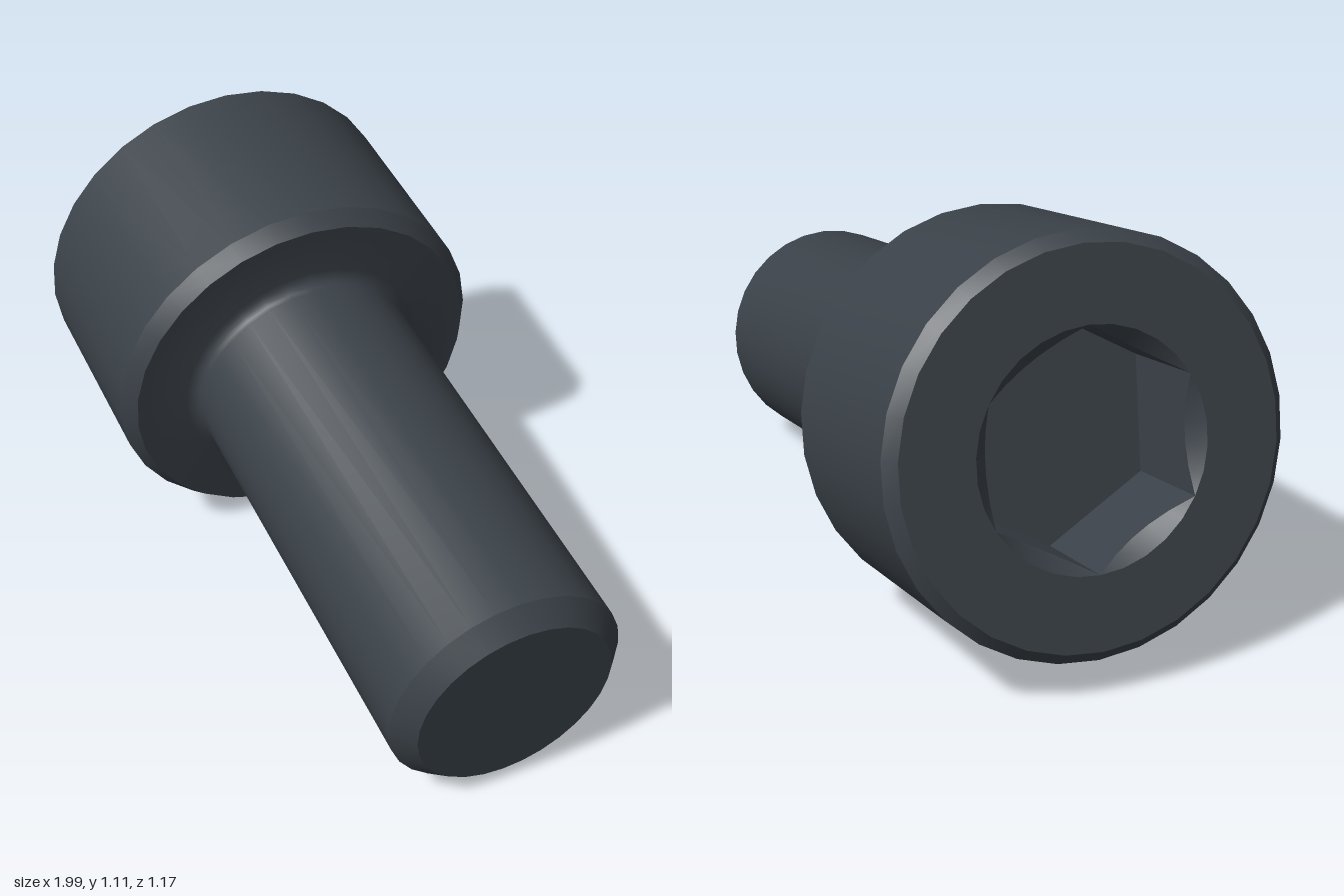
import * as THREE from 'three';
import { toCreasedNormals } from 'three/addons/utils/BufferGeometryUtils.js';

const SIDES = 30;
const HEAD_R = 0.517, HEAD_H = 0.62, SHANK_R = 0.31, LENGTH = 1.857;
const HEX_R = 0.298, HEX_DEPTH = 0.27, FILLET = 0.035;

// Distance from the axis to the hexagon wall at a given angle (corner at 0)
function hexRadius(angle) {
  const sector = Math.PI / 3;
  const a = ((angle % sector) + sector) % sector - sector / 2;
  return HEX_R * Math.cos(sector / 2) / Math.cos(a);
}

function screwGeometry() {
  const profile = [
    // socket: floor, wall, countersink
    [0, HEX_DEPTH], [HEX_R, HEX_DEPTH], [HEX_R, 0], [HEX_R, 0],
    // chamfered head
    [HEAD_R - 0.03, 0], [HEAD_R, 0.03], [HEAD_R, HEAD_H - 0.045], [HEAD_R - 0.031, HEAD_H],
  ];
  // fillet under the head
  for (let i = 0; i <= 4; i++) {
    const t = (i / 4) * Math.PI / 2;
    profile.push([
      SHANK_R + FILLET * (1 - Math.sin(t)),
      HEAD_H + FILLET * (1 - Math.cos(t)),
    ]);
  }
  // shank and chamfered tip
  profile.push([SHANK_R, LENGTH - 0.053], [SHANK_R - 0.05, LENGTH], [0, LENGTH]);

  const geo = new THREE.LatheGeometry(profile.map(([x, y]) => new THREE.Vector2(x, y)), SIDES);

  // Pull the socket wall rings into a hexagon; the 45 degree countersink follows it
  const pos = geo.attributes.position;
  for (let i = 0; i <= SIDES; i++) {
    const angle = (i / SIDES) * Math.PI * 2;
    const r = hexRadius(angle);
    for (const j of [1, 2]) {
      const y = j === 1 ? HEX_DEPTH : HEX_R - r;
      pos.setXYZ(i * profile.length + j, r * Math.sin(angle), y, r * Math.cos(angle));
    }
  }
  return toCreasedNormals(geo, 0.5);
}

export function createModel() {
  const model = new THREE.Group();
  model.name = 'socketCapScrew';

  const darkSteel = new THREE.MeshStandardMaterial({ color: 0x3b4249 });
  darkSteel.name = 'darkSteel';

  const screw = new THREE.Mesh(screwGeometry(), darkSteel);
  screw.name = 'screw';

  // Tilt the axis so the tip points right, slightly down and forward
  const axis = new THREE.Vector3(0.964, -0.169, 0.205).normalize();
  const corner = new THREE.Vector3(0, 1, 0).addScaledVector(axis, -axis.y).normalize();
  const side = new THREE.Vector3().crossVectors(axis, corner);
  screw.quaternion.setFromRotationMatrix(new THREE.Matrix4().makeBasis(side, axis, corner));
  screw.position.set(-0.865, 0.616, -0.084);

  model.add(screw);
  return model;
}
